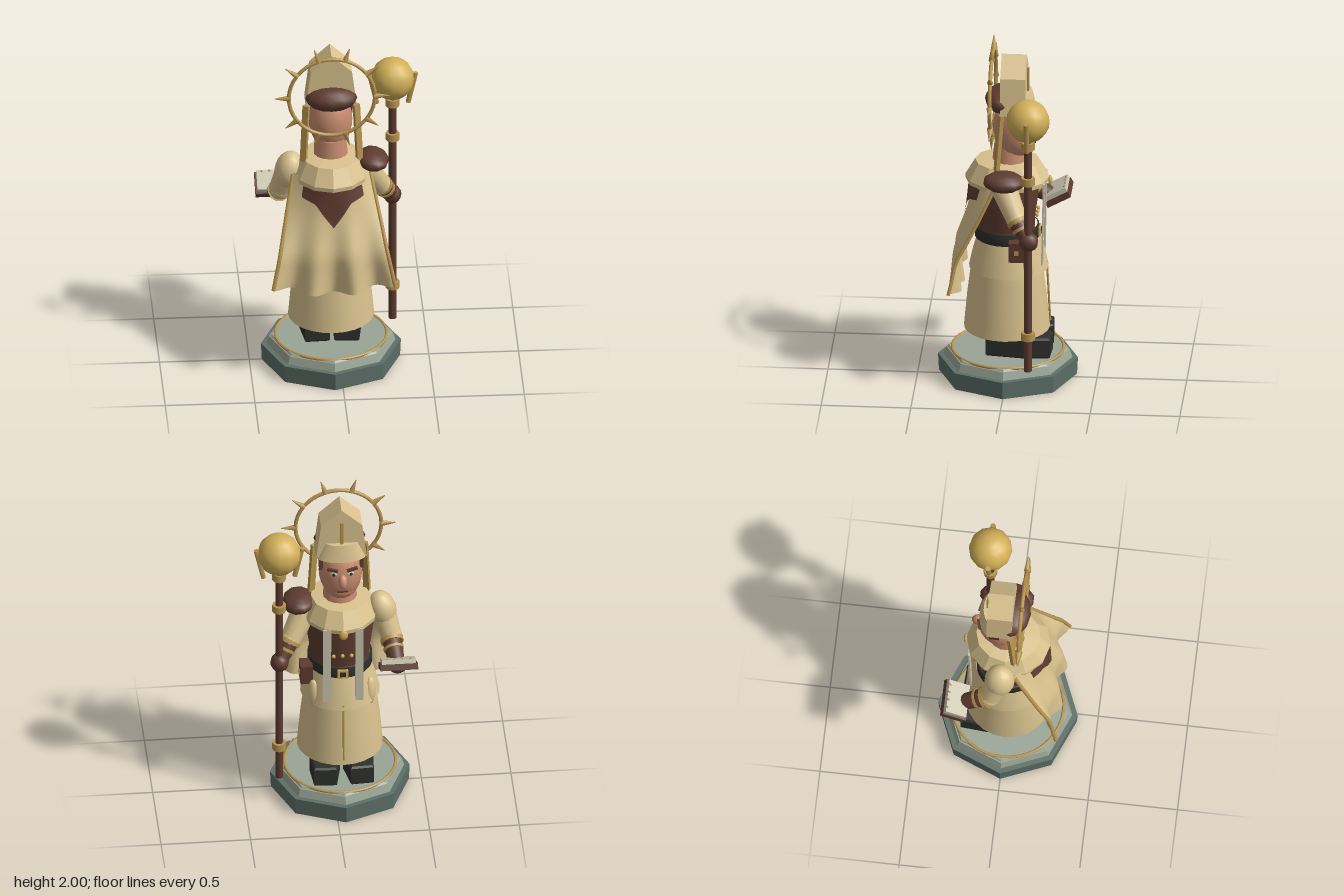
import * as THREE from 'three';

const mat = (name, color, extra = {}) => {
  const m = new THREE.MeshStandardMaterial({ color, ...extra });
  m.name = name;
  return m;
};
const V = (x, y, z) => new THREE.Vector3(x, y, z);
const lerp = THREE.MathUtils.lerp;

// Cape surface: s runs across (-1..1), y is height
const capeRows = [[1.22, 0.2, 0.05], [1.0, 0.225, 0.15], [0.78, 0.285, 0.25], [0.54, 0.28, 0.28]];
function capePoint(s, y, out = 0) {
  let i = 0;
  while (i < 2 && y < capeRows[i + 1][0]) i++;
  const [y0, c0, e0] = capeRows[i], [y1, c1, e1] = capeRows[i + 1];
  const f = (y0 - y) / (y0 - y1), t = (1.2 - y) / 0.6;
  const mid = lerp(c0, c1, f), edge = lerp(e0, e1, f);
  const wave = -Math.cos(s * Math.PI * 3) * 0.035 * Math.max(0, t) ** 2;
  return V(s * lerp(0.215, 0.34, t), y, lerp(mid, edge, s * s) + wave + out);
}

// Grid surface from a rule f(u, v) with u, v in 0..1
function surface(f, nu, nv) {
  const g = new THREE.PlaneGeometry(1, 1, nu, nv), p = g.attributes.position;
  for (let j = 0, k = 0; j <= nv; j++)
    for (let i = 0; i <= nu; i++, k++) p.setXYZ(k, ...f(i / nu, j / nv).toArray());
  g.computeVertexNormals();
  return g;
}

export function createModel() {
  const both = { side: THREE.DoubleSide };
  const stone = mat('dark stone', 0x5d7068, { flatShading: true });
  const slate = mat('light stone', 0x9aa596, { flatShading: true });
  const black = mat('black leather', 0x2e302b);
  const brown = mat('brown leather', 0x5e3b30, both);
  const cream = mat('cream cloth', 0xd9c28e, both);
  const pale = mat('pale cloth', 0xc9c4ae);
  const trim = mat('gold trim', 0xb8954f);
  const gold = mat('bright gold', 0xd2b058);
  const skin = mat('skin', 0xc88c6f);

  const model = new THREE.Group();
  model.name = 'robedFigure';
  const body = new THREE.Group();
  body.name = 'figure';
  body.position.x = -0.045;
  model.add(body);

  const add = (name, geo, m, pos = [0, 0, 0], rot = [0, 0, 0], scale = [1, 1, 1], parent = body) => {
    const mesh = new THREE.Mesh(geo, m);
    mesh.name = name;
    mesh.position.set(...pos);
    mesh.rotation.set(...rot);
    mesh.scale.set(...scale);
    parent.add(mesh);
    return mesh;
  };
  const box = (w, h, d) => new THREE.BoxGeometry(w, h, d);
  const cyl = (rt, rb, h, n = 12) => new THREE.CylinderGeometry(rt, rb, h, n);
  const ball = (w = 14, h = 10) => new THREE.SphereGeometry(1, w, h);
  const lathe = (pts, n = 24) => new THREE.LatheGeometry(pts.map(p => new THREE.Vector2(...p)), n);
  // Tapered rod from a to b
  const rod = (name, a, b, ra, rb, m, n = 12) => {
    const d = V(...b).sub(V(...a));
    const mesh = add(name, cyl(rb, ra, d.length(), n), m, V(...a).addScaledVector(d, 0.5).toArray());
    mesh.quaternion.setFromUnitVectors(V(0, 1, 0), d.normalize());
    return mesh;
  };

  // Octagonal base
  add('baseFoot', cyl(0.39, 0.385, 0.1, 8), stone, [0, 0.05, 0]);
  add('baseStep', cyl(0.345, 0.36, 0.045, 8), slate, [0, 0.122, 0]);
  add('baseTop', cyl(0.33, 0.34, 0.012, 8), slate, [0, 0.149, 0]);
  add('baseRing', new THREE.TorusGeometry(0.31, 0.009, 8, 40), trim, [0, 0.153, 0], [Math.PI / 2, 0, 0]);

  // Boots
  for (const s of [-1, 1]) {
    const outline = new THREE.Shape();
    outline.moveTo(-0.06, -0.1).lineTo(0.06, -0.1).lineTo(0.075, 0.1).lineTo(0.055, 0.24)
      .lineTo(-0.055, 0.24).lineTo(-0.075, 0.1);
    const sole = new THREE.ExtrudeGeometry(outline, { depth: 0.1, bevelSize: 0.01, bevelThickness: 0.01, bevelSegments: 1 });
    add('boot', sole, black, [s * 0.088, 0.166, 0], [-Math.PI / 2, 0, s * -0.06]);
    rod('bootLeg', [s * 0.088, 0.26, 0.02], [s * 0.085, 0.42, 0.01], 0.075, 0.07, black);
  }

  // Robe, belt and torso
  add('robeSkirt', lathe([[0.24, 0.285], [0.222, 0.48], [0.195, 0.7]]), cream, [0, 0, 0.005]);
  add('overSkirt', lathe([[0.222, 0.65], [0.2, 0.75], [0.175, 0.84]]), cream, [0, 0, -0.005]);
  add('torso', lathe([[0.165, 0.83], [0.17, 0.95], [0.19, 1.1], [0.18, 1.2]]), brown, [0, 0, 0.01], [0, 0, 0], [1, 1, 0.95]);
  add('belt', lathe([[0.17, 0.83], [0.18, 0.835], [0.18, 0.9], [0.17, 0.905]]), black, [0, 0, 0.005]);
  add('buckle', box(0.06, 0.055, 0.012), gold, [0, 0.866, -0.178]);
  add('buckleCentre', box(0.035, 0.03, 0.014), black, [0, 0.866, -0.18]);
  for (let i = -1; i <= 1; i++) add('button', ball(8, 6), gold, [i * 0.05, 0.98, -0.166], [0, 0, 0], [0.012, 0.012, 0.01]);
  for (const s of [-1, 1]) add('stole', box(0.045, 0.49, 0.009), pale, [s * 0.09, 0.945, -0.202], [-0.02, 0, 0]);
  rod('robeSeam', [0, 0.32, -0.236], [0, 0.68, -0.217], 0.006, 0.006, trim, 6);
  add('pouch', box(0.07, 0.115, 0.09), brown, [0.195, 0.82, -0.065]);
  add('pouchClasp', box(0.009, 0.025, 0.025), trim, [0.233, 0.82, -0.065]);
  for (const s of [-1, 1]) add('hipCloth', ball(10, 8), cream, [s * 0.16, 0.71, -0.125], [0.1, s * -0.8, 0], [0.035, 0.085, 0.025]);

  // Collar mantle
  const mantle = lathe([[0.21, 1.165], [0.232, 1.17], [0.235, 1.195], [0.18, 1.29], [0.08, 1.3]], 12).toNonIndexed();
  mantle.computeVertexNormals();
  add('mantle', mantle, cream, [0, 0, 0.003], [0, 0, 0], [0.9, 1, 1]);
  add('brooch', ball(8, 6), gold, [0, 1.17, -0.236], [0, 0, 0], [0.025, 0.03, 0.012]);

  // Cape with edge trim and the brown cowl point on its back
  add('cape', surface((u, v) => {
    const s = u * 2 - 1;
    return capePoint(s, lerp(1.21, 0.545 + 0.055 * Math.abs(s), v));
  }, 36, 14), cream);
  for (const s of [-1, 1]) {
    const pts = [1.2, 1.05, 0.9, 0.78, 0.68, 0.6].map(y => capePoint(s, y));
    add('capeTrim', new THREE.TubeGeometry(new THREE.CatmullRomCurve3(pts), 16, 0.011, 6), trim);
  }
  add('cowlPoint', surface((u, v) => {
    const s = (u * 2 - 1) * 0.74, a = Math.abs(u * 2 - 1);
    const low = a < 0.55 ? lerp(0.95, 1.085, a / 0.55) : lerp(1.085, 1.11, (a - 0.55) / 0.45);
    return capePoint(s, lerp(1.17, low, v), 0.012);
  }, 24, 6), brown);

  // Head and face
  add('neck', cyl(0.085, 0.1, 0.14, 14), skin, [0, 1.33, -0.01]);
  add('head', ball(18, 14), skin, [0, 1.49, -0.04], [0, 0, 0], [0.122, 0.185, 0.125]);
  add('jaw', ball(), skin, [0, 1.4, -0.05], [0, 0, 0], [0.095, 0.08, 0.1]);
  add('nose', ball(10, 8), skin, [0, 1.49, -0.17], [0.25, 0, 0], [0.026, 0.045, 0.033]);
  for (const s of [-1, 1]) {
    add('eyeWhite', ball(10, 6), pale, [s * 0.048, 1.53, -0.151], [0, s * -0.35, 0], [0.021, 0.013, 0.006]);
    add('pupil', ball(8, 6), black, [s * 0.047, 1.53, -0.155], [0, 0, 0], [0.009, 0.011, 0.006]);
    add('eyebrow', box(0.06, 0.014, 0.016), brown, [s * 0.055, 1.562, -0.155], [0, s * -0.25, s * 0.15]);
    add('sideburn', box(0.022, 0.11, 0.055), brown, [s * 0.113, 1.58, -0.065]);
  }
  add('mouth', box(0.06, 0.01, 0.01), brown, [0, 1.412, -0.153]);
  add('hair', ball(12, 8), brown, [0, 1.66, 0.03], [0, 0, 0], [0.145, 0.07, 0.098]);

  // Mitre
  const mitre = new THREE.Shape();
  mitre.moveTo(-0.142, 1.61).lineTo(0.142, 1.61).lineTo(0.115, 1.825).lineTo(0, 1.93).lineTo(-0.115, 1.825);
  add('mitre', new THREE.ExtrudeGeometry(mitre, { depth: 0.14, bevelEnabled: false }), cream, [0, 0, -0.105]);
  add('mitreFront', new THREE.CylinderGeometry(0.1, 0.142, 0.1, 12, 1, false, Math.PI / 2, Math.PI), cream, [0, 1.66, -0.08], [0, 0, 0], [1, 1, 0.55]);
  add('mitreStripe', box(0.016, 0.22, 0.012), trim, [0, 1.74, -0.112]);
  for (const s of [-1, 1]) {
    const lappet = add('lappet', box(0.036, 0.34, 0.022), trim, [s * 0.148, 1.445, 0.04], [-0.07, s * 0.5, s * 0.05]);
    lappet.rotation.order = 'ZXY';
  }

  // Spiked halo
  add('halo', new THREE.TorusGeometry(0.24, 0.011, 8, 40), trim, [0, 1.695, 0.085]);
  for (let i = 0; i < 10; i++) {
    const a = i * Math.PI / 5, c = Math.cos(a), s = Math.sin(a);
    rod('haloSpike', [c * 0.235, 1.695 + s * 0.235, 0.085], [c * 0.32, 1.695 + s * 0.32, 0.085], 0.018, 0.002, trim, 6);
  }

  // Staff arm with pauldron
  add('pauldron', ball(10, 8), brown, [0.232, 1.253, 0.005], [0, 0, -0.1], [0.092, 0.054, 0.118]);
  rod('staffArmSleeve', [0.19, 1.2, 0.01], [0.29, 1.03, -0.08], 0.075, 0.058, cream);
  add('staffElbow', ball(), cream, [0.28, 1.05, -0.07], [0, 0, 0], [0.06, 0.06, 0.06]);
  rod('staffForearm', [0.285, 1.04, -0.075], [0.345, 0.955, -0.135], 0.054, 0.042, brown);
  rod('staffCuff', [0.284, 1.045, -0.073], [0.294, 1.03, -0.083], 0.064, 0.062, trim);
  rod('staffCuff', [0.308, 1.008, -0.098], [0.316, 0.995, -0.106], 0.056, 0.054, trim);
  add('staffHand', ball(10, 8), brown, [0.35, 0.945, -0.142], [0, 0, 0], [0.052, 0.055, 0.055]);

  // Staff topped with an orb
  const staff = new THREE.Group();
  staff.name = 'staff';
  staff.position.set(0.352, 0, -0.138);
  body.add(staff);
  const onStaff = (name, geo, m, pos, rot, scale) => add(name, geo, m, pos, rot, scale, staff);
  onStaff('shaft', cyl(0.022, 0.022, 1.42, 10), brown, [0, 0.872, 0]);
  for (const y of [0.375, 1.315, 1.53]) onStaff('staffRing', cyl(0.039, 0.039, 0.044, 8), trim, [0, y, 0]);
  onStaff('orb', ball(12, 10), gold, [0, 1.68, 0], [0, 0, 0], [0.122, 0.122, 0.122]);
  for (const s of [-1, 1]) onStaff('orbProng', cyl(0.015, 0.015, 0.19, 6), trim, [s * 0.108, 1.62, 0], [0, 0, s * -0.22]);

  // Book arm with puffed sleeve
  add('puffSleeve', ball(), cream, [-0.235, 1.19, -0.02], [0, 0, -0.25], [0.078, 0.11, 0.085]);
  rod('bookArmSleeve', [-0.24, 1.18, -0.02], [-0.28, 1.04, -0.07], 0.07, 0.06, cream);
  add('bookElbow', ball(), cream, [-0.28, 1.04, -0.07], [0, 0, 0], [0.062, 0.062, 0.062]);
  rod('bookForearm', [-0.28, 1.03, -0.075], [-0.3, 0.945, -0.225], 0.057, 0.045, brown);
  rod('bookCuff', [-0.281, 1.025, -0.085], [-0.284, 1.013, -0.106], 0.066, 0.064, trim);
  rod('bookCuff', [-0.287, 0.997, -0.134], [-0.289, 0.99, -0.147], 0.058, 0.056, trim);
  add('bookHand', ball(10, 8), brown, [-0.3, 0.95, -0.235], [0, 0, 0], [0.055, 0.045, 0.055]);

  // Open-topped book, tilted up toward its far edge
  const book = new THREE.Group();
  book.name = 'book';
  book.position.set(-0.302, 0.963, -0.262);
  book.rotation.x = 0.5;
  body.add(book);
  add('bookCover', box(0.21, 0.035, 0.145), brown, [0, 0, 0], [0, 0, 0], [1, 1, 1], book);
  add('bookPages', box(0.19, 0.03, 0.13), pale, [0, 0.028, -0.004], [0, 0, 0], [1, 1, 1], book);
  for (let i = 0; i < 4; i++) add('bookStud', ball(6, 5), trim, [-0.066 + i * 0.044, 0.043, -0.062], [0, 0, 0], [0.007, 0.007, 0.007], book);

  return model;
}
